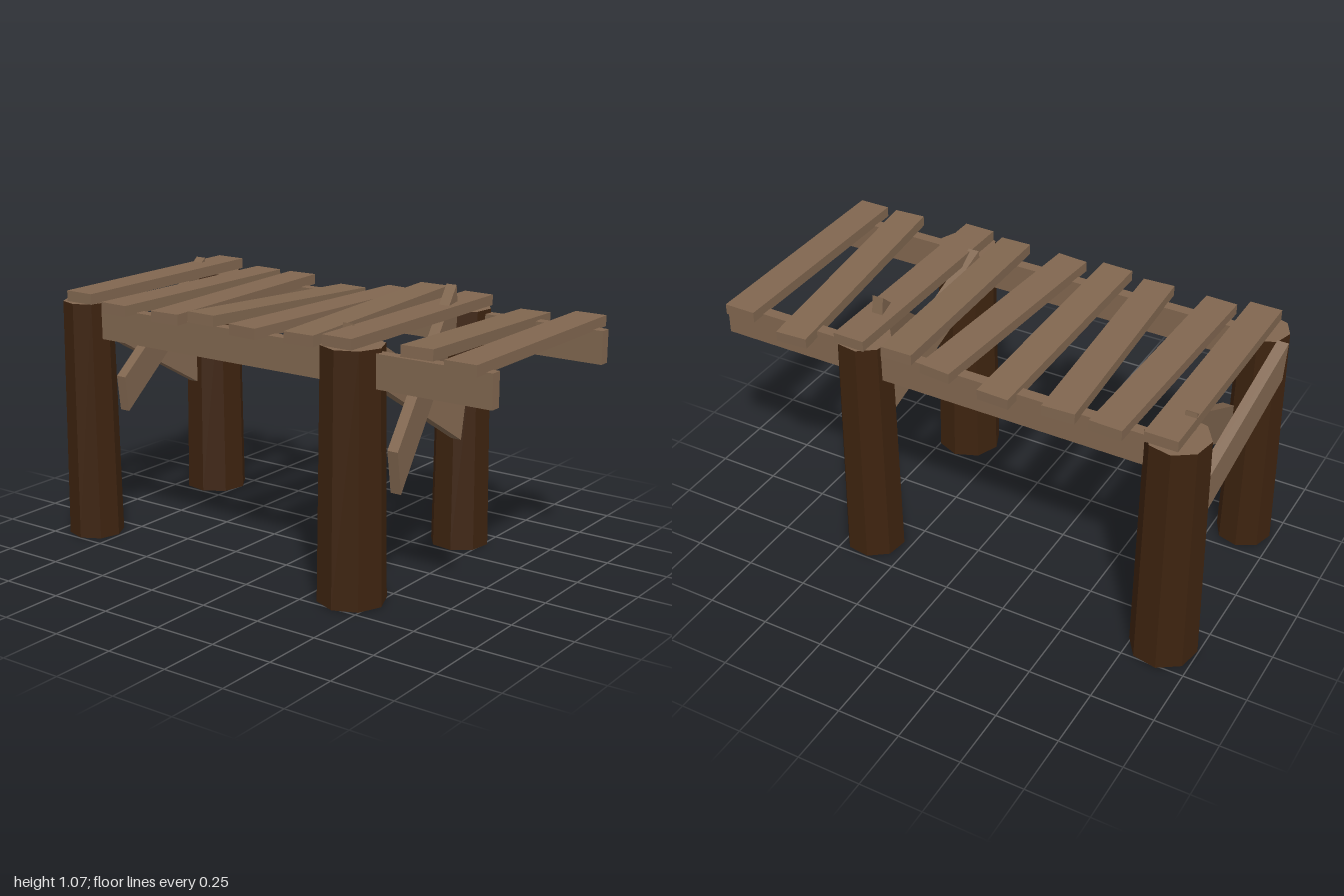
import * as THREE from 'three';

export function createModel() {
  const group = new THREE.Group();
  const wood = new THREE.MeshStandardMaterial({ color: 0x80664f, flatShading: true });
  const bark = new THREE.MeshStandardMaterial({ color: 0x3d230f, flatShading: true });

  function add(name, geometry, material) {
    const mesh = new THREE.Mesh(geometry, material);
    mesh.name = name;
    group.add(mesh);
    return mesh;
  }

  // Octagonal log posts: dark bark sides, pale cut ends
  const posts = [
    // x, z, bottom radius, turn
    [-0.385, 0.405, 0.131, 0],
    [0.378, 0.4, 0.118, 0.25],
    [-0.385, -0.872, 0.11, 0.1],
    [0.383, -0.868, 0.13, 0.2],
  ];
  for (const [x, z, r, turn] of posts) {
    const post = add('post', new THREE.CylinderGeometry(r - 0.012, r, 0.965, 8), [bark, wood, wood]);
    post.position.set(x, 0.4825, z);
    post.rotation.y = turn;
  }

  // Long rails under the deck
  for (const [x, front] of [[-0.383, 0.985], [0.392, 0.998]]) {
    const back = -0.9;
    const rail = add('rail', new THREE.BoxGeometry(0.045, 0.128, front - back), wood);
    rail.position.set(x, 0.885, (front + back) / 2);
  }

  // Uneven deck planks: centre x, z at left and right ends, y at both ends
  const planks = [
    [0.003, 0.895, 0.895, 0.965, 0.965],
    [0.03, 0.705, 0.645, 0.985, 0.938],
    [-0.003, 0.395, 0.41, 0.985, 0.985],
    [0.003, 0.225, 0.203, 0.972, 0.995],
    [-0.003, -0.028, 0.048, 0.965, 0.965],
    [0.005, -0.228, -0.195, 0.985, 0.94],
    [0.005, -0.405, -0.455, 0.965, 0.965],
    [0.008, -0.667, -0.638, 0.965, 0.965],
    [0.005, -0.843, -0.843, 0.99, 0.99],
  ];
  for (const [x, z0, z1, y0, y1] of planks) {
    const plank = add('plank', new THREE.BoxGeometry(0.94, 0.042, 0.127), wood);
    plank.position.set(x, (y0 + y1) / 2, (z0 + z1) / 2);
    plank.rotation.set(0, -Math.atan2(z1 - z0, 0.94), Math.atan2(y1 - y0, 0.94));
  }

  // Diagonal braces: slanted outline in x/y, leaning in z from one end to the other
  function brace(name, outline, zStart, zEnd, thickness = 0.045) {
    const shape = new THREE.Shape(outline.map(([x, y]) => new THREE.Vector2(x, y)));
    const geometry = new THREE.ExtrudeGeometry(shape, { depth: thickness, bevelEnabled: false });
    const p = geometry.attributes.position;
    for (let i = 0; i < p.count; i++) {
      const t = (p.getX(i) + 0.3) / 0.6;
      p.setZ(i, p.getZ(i) - thickness / 2 + zStart + (zEnd - zStart) * t);
    }
    geometry.computeVertexNormals();
    add(name, geometry, wood);
  }
  brace('frontOuterBrace', [[-0.322, 0.575], [-0.285, 0.405], [0.3, 0.905], [0.265, 1.072]], 0.53, 0.4);
  brace('frontInnerBrace', [[-0.295, 1.012], [-0.315, 0.86], [0.26, 0.465], [0.28, 0.613]], 0.32, 0.455);
  brace('backInnerBrace', [[-0.3, 0.645], [-0.28, 0.5], [0.34, 0.885], [0.32, 1.028]], -0.79, -0.88);
  brace('backOuterBrace', [[-0.31, 0.98], [-0.29, 0.83], [0.27, 0.49], [0.28, 0.64]], -0.972, -0.89);

  return group;
}
